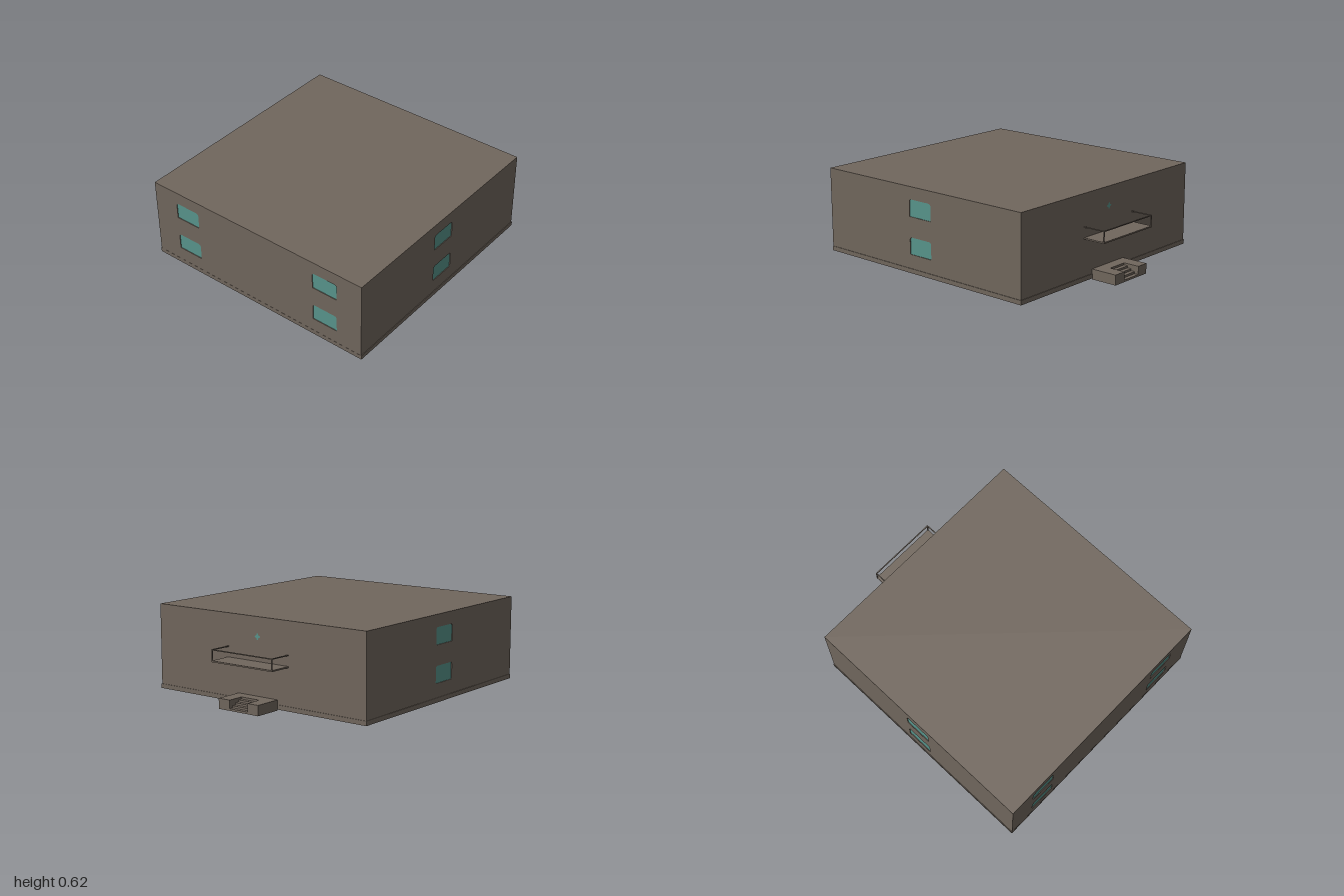
import * as THREE from 'three';

const wallMat = new THREE.MeshStandardMaterial({ name: 'taupe plaster', color: 0x71675d, side: THREE.DoubleSide });
const glassMat = new THREE.MeshStandardMaterial({ name: 'teal glass', color: 0x58958c, side: THREE.DoubleSide });

const X0 = -1, X1 = 0.8, Z = 0.9, BASE = 0.008, TOP = 0.617, T = 0.01;
const CX = (X0 + X1) / 2;

function add(parent, name, geo, mat, x = 0, y = 0, z = 0) {
  const mesh = new THREE.Mesh(geo, mat);
  mesh.name = name;
  mesh.position.set(x, y, z);
  parent.add(mesh);
  return mesh;
}

// Box given by its two corners
function block(parent, name, a, b) {
  const [w, h, d] = b.map((v, i) => v - a[i]);
  return add(parent, name, new THREE.BoxGeometry(w, h, d), wallMat, a[0] + w / 2, a[1] + h / 2, a[2] + d / 2);
}

// Box without its underside and the side against the house
function shell(parent, name, a, b) {
  const mesh = block(parent, name, a, b);
  const idx = Array.from(mesh.geometry.index.array);
  mesh.geometry.setIndex([...idx.slice(0, 6), ...idx.slice(12, 18), ...idx.slice(24)]);
  return mesh;
}

// Window outline with rounded corners
function windowOutline(path, cx, y0, rBottom) {
  const w = 0.1, h = 0.122, r = 0.02, q = rBottom;
  path.moveTo(cx - w + q, y0);
  path.lineTo(cx + w - q, y0);
  path.quadraticCurveTo(cx + w, y0, cx + w, y0 + q);
  path.lineTo(cx + w, y0 + h - r);
  path.quadraticCurveTo(cx + w, y0 + h, cx + w - r, y0 + h);
  path.lineTo(cx - w + r, y0 + h);
  path.quadraticCurveTo(cx - w, y0 + h, cx - w, y0 + h - r);
  path.lineTo(cx - w, y0 + q);
  path.quadraticCurveTo(cx - w, y0, cx - w + q, y0);
  return path;
}

// Wall with two storeys of windows; its outer face lies at local z = 0
function wall(name, width, columns) {
  const group = new THREE.Group();
  group.name = name;
  const shape = new THREE.Shape();
  shape.moveTo(-width / 2, BASE);
  shape.lineTo(width / 2, BASE);
  shape.lineTo(width / 2, TOP);
  shape.lineTo(-width / 2, TOP);
  shape.closePath();
  for (const cx of columns) {
    for (const [y0, q] of [[0.14, 0.008], [0.407, 0.003]]) {
      shape.holes.push(windowOutline(new THREE.Path(), cx, y0, q));
      const pane = new THREE.ShapeGeometry(windowOutline(new THREE.Shape(), cx, y0, q), 5);
      add(group, 'windowPane', pane, glassMat, 0, 0, -T / 2);
    }
  }
  const geo = new THREE.ExtrudeGeometry(shape, { depth: T, bevelEnabled: false, curveSegments: 5 });
  add(group, 'wallPanel', geo, wallMat, 0, 0, -T);
  return group;
}

export function createModel() {
  const model = new THREE.Group();
  model.name = 'building';

  // Four walls around an open-bottomed interior
  const W = X1 - X0;
  const walls = [
    ['frontWall', W, [0], CX, Z, 0],
    ['backWall', W, [0], CX, -Z, Math.PI],
    ['windowSideWall', 2 * Z, [-0.6, 0.6], X0, 0, -Math.PI / 2],
    ['entranceWall', 2 * Z, [], X1, 0, Math.PI / 2],
  ];
  for (const [name, width, columns, x, z, turn] of walls) {
    const w = wall(name, width, columns);
    w.position.set(x, 0, z);
    w.rotation.y = turn;
    model.add(w);
  }
  block(model, 'roof', [X0, TOP - T, -Z], [X1, TOP + 0.001, Z]);

  // Plinth strips along the foot of the walls
  const P = 0.004, PT = 0.04;
  for (const s of [-1, 1]) {
    const [a, b] = [s * Z, s * (Z + P)].sort((m, n) => m - n);
    block(model, 'plinth', [X0, BASE, a], [X1 + P, PT, b]);
  }
  block(model, 'plinth', [X0 - 0.001, BASE, -Z], [X0, PT, Z]);
  for (const s of [-1, 1]) {
    const [a, b] = [s * 0.172, s * (Z + P)].sort((m, n) => m - n);
    block(model, 'plinth', [X1, BASE, a], [X1 + P, PT, b]);
  }

  // Small four-lobed window above the balcony
  const flower = new THREE.Shape();
  for (let i = 0; i <= 32; i++) {
    const a = (i / 32) * Math.PI * 2, r = 0.018 + 0.005 * Math.cos(4 * a);
    flower[i ? 'lineTo' : 'moveTo'](r * Math.cos(a), r * Math.sin(a));
  }
  add(model, 'flowerWindow', new THREE.ShapeGeometry(flower), glassMat, X1 + 0.002, 0.482, 0).rotation.y = Math.PI / 2;

  // Balcony: slab, corner posts and top rail
  const balcony = new THREE.Group();
  balcony.name = 'balcony';
  model.add(balcony);
  const BX = 0.967, BZ = 0.265, R = 0.007;
  block(balcony, 'balconyFloor', [X1, 0.302, -BZ], [BX, 0.312, BZ]);
  block(balcony, 'frontRail', [BX - R, 0.383, -BZ], [BX, 0.39, BZ]);
  for (const z of [-BZ, BZ - R]) {
    block(balcony, 'cornerPost', [BX - R, 0.312, z], [BX, 0.383, z + R]);
    block(balcony, 'sideRail', [X1, 0.383, z], [BX - R, 0.39, z + R]);
  }

  // Entrance porch with steps cut into its middle
  const porch = new THREE.Group();
  porch.name = 'porch';
  model.add(porch);
  const H = 0.073, SZ = 0.078;
  shell(porch, 'porchSide', [X1, 0, SZ], [1, H, 0.175]);
  shell(porch, 'porchSide', [X1, 0, -0.17], [1, H, -SZ]);
  shell(porch, 'landing', [X1, 0, -SZ], [0.88, H, SZ]);
  for (let i = 0; i < 4; i++) {
    const x = 1 - 0.03 * i;
    shell(porch, 'step', [x - 0.03, 0, -SZ], [x, (H * (i + 1)) / 5, SZ]);
  }
  return model;
}
